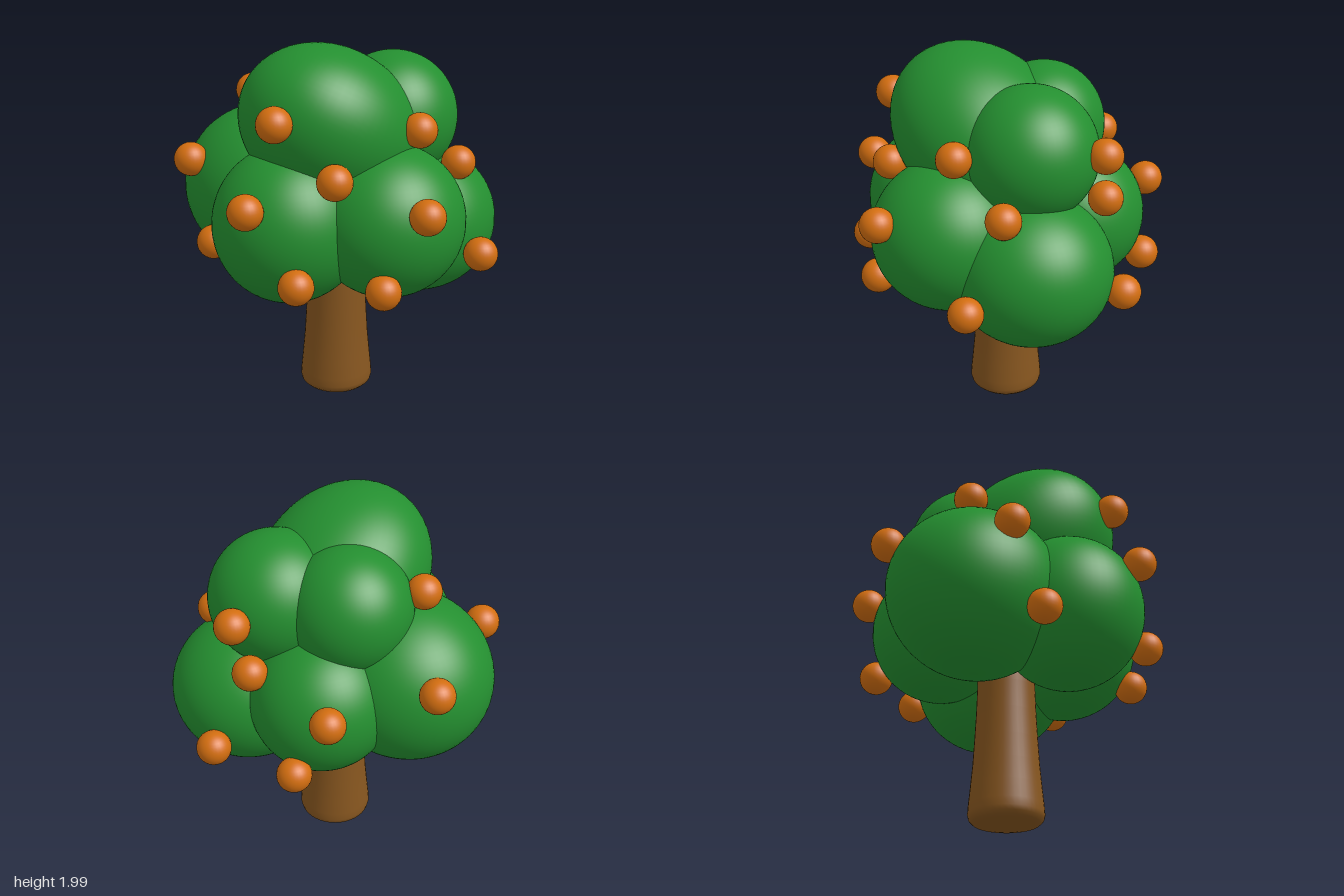
import * as THREE from 'three';

export function createModel() {
  const mat = (name, color) => Object.assign(new THREE.MeshStandardMaterial({ color }), { name });
  const bark = mat('bark brown', 0x87561f);
  const leaf = mat('leaf green', 0x248f30);
  const orange = mat('fruit orange', 0xd36e10);

  const tree = new THREE.Group();
  tree.name = 'fruitTree';

  // Trunk: flared foot with a rounded rim, gently tapering upward
  const profile = [
    [0, 0.006], [0.14, 0.006], [0.175, 0.012], [0.194, 0.03], [0.2, 0.055], [0.197, 0.1], [0.187, 0.2],
    [0.176, 0.32], [0.168, 0.45], [0.16, 0.6], [0.155, 0.75], [0.15, 1.1], [0, 1.1],
  ].map(([r, y]) => new THREE.Vector2(r, y));
  const trunk = new THREE.Mesh(new THREE.LatheGeometry(profile, 40), bark);
  trunk.name = 'trunk';
  tree.add(trunk);

  // Foliage: overlapping rounded clumps [name, centre, radii, tilt about x]
  const foliage = new THREE.Group();
  foliage.name = 'foliage';
  const clumpGeometry = new THREE.SphereGeometry(1, 64, 40);
  const clumps = [
    ['crownFront', [0.06, 1.547, 0.11], [0.455, 0.41, 0.53], -0.61],
    ['crownBack', [0.16, 1.55, -0.27], [0.345, 0.35, 0.35], 0],
    ['crownSide', [-0.2, 1.56, -0.1], [0.33, 0.335, 0.325], 0],
    ['lowerFront', [0.045, 1.09, 0.4], [0.4, 0.415, 0.405], 0],
    ['lowerRight', [-0.39, 1.13, 0.125], [0.48, 0.45, 0.45], 0],
    ['lowerLeft', [0.42, 1.11, 0.06], [0.4, 0.4, 0.405], 0],
    ['lowerBackLeft', [0.28, 0.975, -0.36], [0.415, 0.4, 0.43], 0],
    ['lowerBackRight', [-0.2, 1.1, -0.3], [0.375, 0.38, 0.38], 0],
  ];
  for (const [name, centre, radii, tilt] of clumps) {
    const clump = new THREE.Mesh(clumpGeometry, leaf);
    clump.name = name;
    clump.position.set(...centre);
    clump.scale.set(...radii);
    clump.rotation.x = tilt;
    foliage.add(clump);
  }
  tree.add(foliage);

  // Fruit: equal balls half set into the foliage
  const fruits = new THREE.Group();
  fruits.name = 'fruits';
  const fruitGeometry = new THREE.SphereGeometry(0.091, 28, 18);
  const spots = [
    [0.17, 1.69, 0.62], [0.41, 1.41, 0.45], [0.145, 1.285, 0.8], [0.355, 0.91, 0.67],
    [-0.36, 0.925, 0.57], [-0.56, 1.335, 0.535], [-0.465, 1.66, 0.16], [-0.8, 1.335, -0.105],
    [0.52, 1.585, -0.06], [0.8, 1.265, 0.21], [0.65, 0.87, 0.355], [0.755, 0.905, -0.3],
    [0.535, 1.345, -0.37], [0.09, 0.895, -0.8], [0.065, 1.595, -0.65], [-0.01, 1.33, -0.615],
    [-0.505, 1.25, -0.565], [-0.35, 0.89, -0.65],
  ];
  spots.forEach((spot, i) => {
    const fruit = new THREE.Mesh(fruitGeometry, orange);
    fruit.name = `fruit${i + 1}`;
    fruit.position.set(...spot);
    fruits.add(fruit);
  });
  tree.add(fruits);

  return tree;
}
